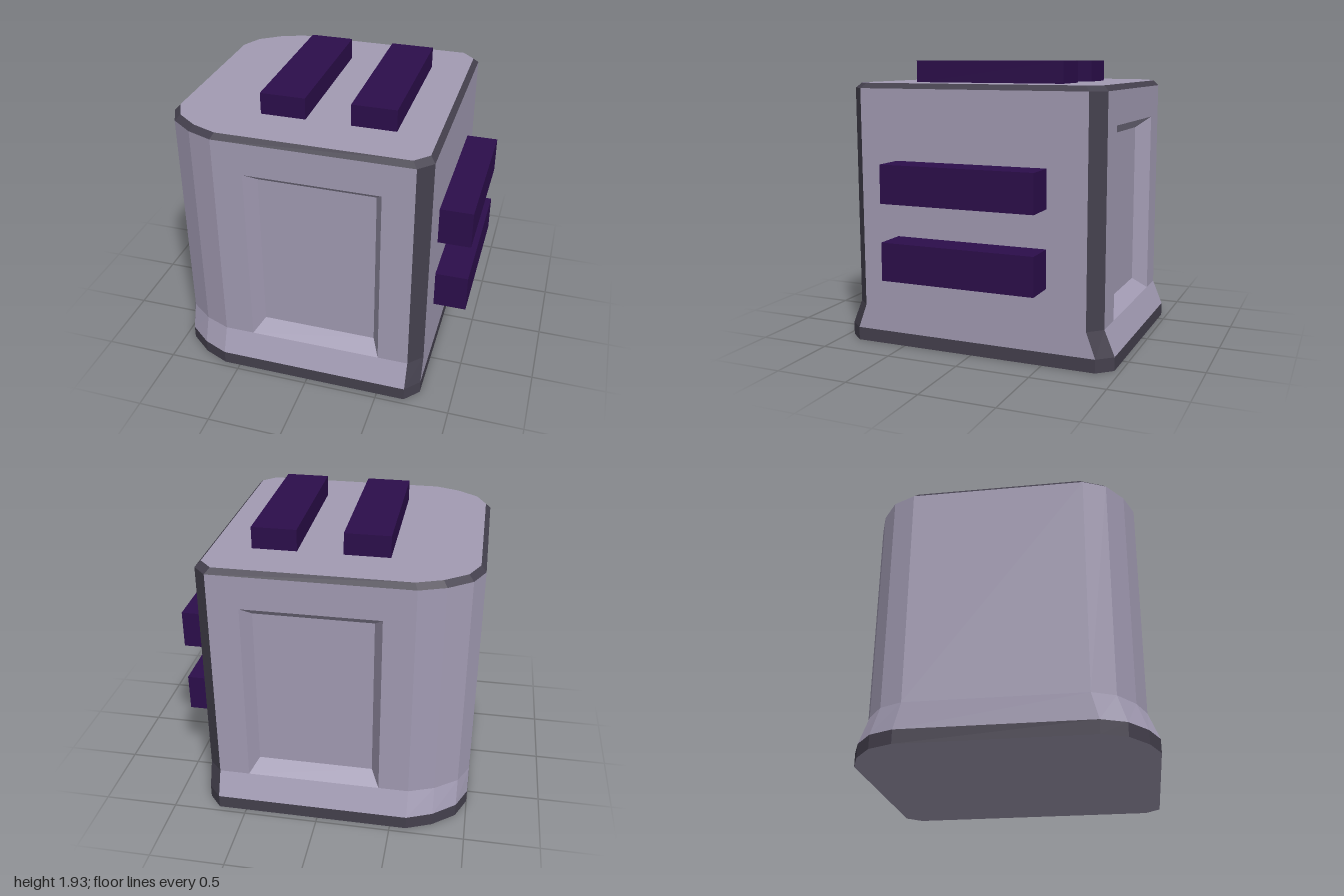
import * as THREE from 'three';

const material = (color) => new THREE.MeshStandardMaterial({ color, flatShading: true });
const shell = material(0xa29bb3);
const trim = material(0x44404d);
const purple = material(0x2c0e4b);

// Half of the base outline from front middle-left around the right; mirrored in z for the back
const corner = [[-1, 0.61], [-0.93, 0.77], [-0.78, 0.89], [-0.61, 0.96], [0.69, 0.96], [0.78, 0.86]];
const outline = [...corner, ...corner.map(([x, z]) => [x, -z]).reverse()];
const FRONT = 3, BACK = 7, CHAMFERS = [4, 6];

// Cross-section at height y, scaled about the body's own centre
function ring(y, sx, sz) {
  return outline.map(([x, z]) => [-0.11 + (x + 0.11) * sx, y, z * sz]);
}

function quad(list, a, b, c, d) {
  list.push(...a, ...b, ...c, ...a, ...c, ...d);
}

function surface(name, positions, mat) {
  const g = new THREE.BufferGeometry();
  g.setAttribute('position', new THREE.Float32BufferAttribute(positions, 3));
  g.computeVertexNormals();
  const mesh = new THREE.Mesh(g, mat);
  mesh.name = name;
  return mesh;
}

// Wall around a bevelled recess; side is 1 for front, -1 for back
function recessedWall(list, side) {
  const z = 0.89, depth = 0.79;
  const rect = (x0, x1, y0, y1, d) => [[x0, y0, d], [x1, y0, d], [x1, y1, d], [x0, y1, d]];
  const put = (pts) => {
    const p = pts.map(([x, y, d]) => [x, y, d * side]);
    if (side < 0) p.reverse();
    quad(list, ...p);
  };
  put(rect(-0.61, -0.41, 0.26, 1.75, z));
  put(rect(0.485, 0.69, 0.26, 1.75, z));
  put(rect(-0.41, 0.485, 1.53, 1.75, z));
  const outer = rect(-0.41, 0.485, 0.26, 1.53, z);
  const inner = rect(-0.35, 0.43, 0.335, 1.455, depth);
  for (let i = 0; i < 4; i++) {
    const j = (i + 1) % 4;
    put([outer[i], outer[j], inner[j], inner[i]]);
  }
  put(inner);
}

function bar(name, x0, x1, y0, y1, mat = purple) {
  const mesh = new THREE.Mesh(new THREE.BoxGeometry(x1 - x0, y1 - y0, 1.06), mat);
  mesh.position.set((x0 + x1) / 2, (y0 + y1) / 2, 0);
  mesh.name = name;
  return mesh;
}

export function createModel() {
  const group = new THREE.Group();
  const light = [], dark = [];
  const upper = 0.89 / 0.96;
  const rings = [
    ring(0, 1, 1), ring(0.09, 1, 1), ring(0.26, 1, upper),
    ring(1.75, 1, upper), ring(1.785, 0.962, 0.857 / 0.96),
  ];

  // Sides: dark base band, flared skirt, upright walls, dark top bevel
  const n = outline.length;
  for (let k = 0; k < 4; k++) {
    for (let i = 0; i < n; i++) {
      if (k === 2 && (i === FRONT || i === BACK)) continue;
      const j = (i + 1) % n;
      const isDark = k === 0 || k === 3 || CHAMFERS.includes(i);
      quad(isDark ? dark : light, rings[k][i], rings[k][j], rings[k + 1][j], rings[k + 1][i]);
    }
  }
  recessedWall(light, 1);
  recessedWall(light, -1);

  // Top and bottom caps
  const [bottom, top] = [rings[0], rings[4]];
  for (let i = 1; i < n - 1; i++) {
    light.push(...top[0], ...top[i], ...top[i + 1]);
    light.push(...bottom[0], ...bottom[i + 1], ...bottom[i]);
  }
  group.add(surface('bodyShell', light, shell), surface('bodyTrim', dark, trim));

  // Raised bars on the top and on the model's left side
  group.add(bar('topBarRight', -0.41, -0.11, 1.78, 1.93));
  group.add(bar('topBarLeft', 0.19, 0.485, 1.78, 1.93));
  group.add(bar('sideBarLower', 0.775, 1, 0.51, 0.765));
  // The upper side bar has a shell-coloured underside
  const faces = [purple, purple, purple, shell, purple, purple];
  group.add(bar('sideBarUpper', 0.775, 1, 1.02, 1.275, faces));

  return group;
}
